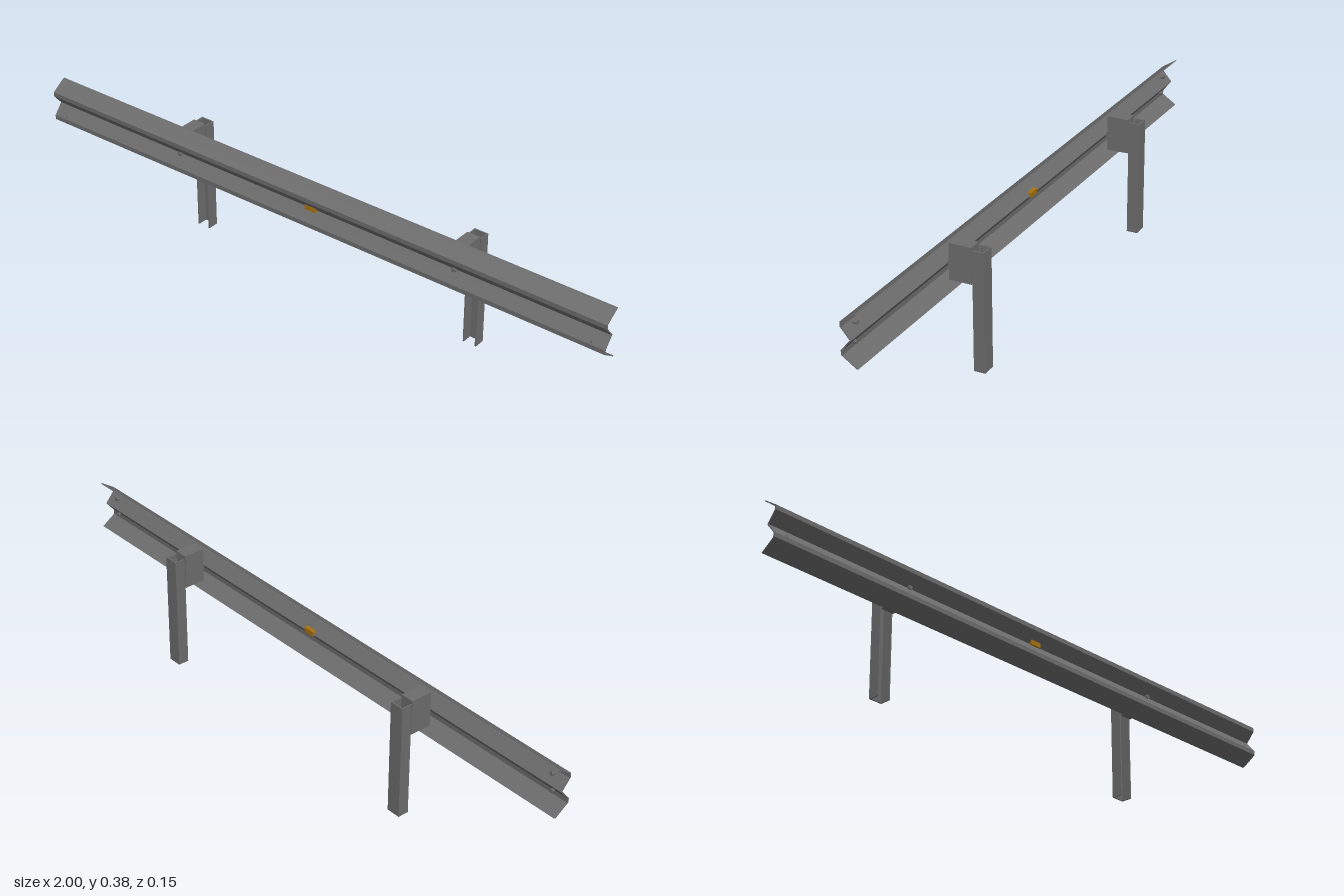
import * as THREE from 'three';

const steel = new THREE.MeshStandardMaterial({ color: 0x6c6c6c });
steel.name = 'galvanised steel';
const amber = new THREE.MeshStandardMaterial({ color: 0xa87210 });
amber.name = 'amber reflector';

function add(parent, name, geometry, material, x = 0, y = 0, z = 0) {
  const mesh = new THREE.Mesh(geometry, material);
  mesh.name = name;
  mesh.position.set(x, y, z);
  parent.add(mesh);
  return mesh;
}

// W-shaped rail section as [z, y], thickened backwards and swept along x
function railGeometry() {
  const front = [
    [0.031, 0.381], [0.076, 0.351], [0.076, 0.337], [0.048, 0.304],
    [0.076, 0.27], [0.076, 0.256], [0.031, 0.226],
  ];
  const t = 0.0045;
  const back = front.map(([z, y]) => [z - t, y]).reverse();
  const shape = new THREE.Shape([...front, ...back].map(([z, y]) => new THREE.Vector2(-z, y)));
  const g = new THREE.ExtrudeGeometry(shape, { depth: 2, bevelEnabled: false });
  g.translate(0, 0, -1);
  g.rotateY(Math.PI / 2);
  return g;
}

// Channel post, open towards the rail
function postGeometry() {
  const w = 0.0225, t = 0.004, back = 0.076, front = 0.041;
  const shape = new THREE.Shape([
    [-w, front], [-w, back], [w, back], [w, front],
    [w - t, front], [w - t, back - t], [-w + t, back - t], [-w + t, front],
  ].map(([x, y]) => new THREE.Vector2(x, y)));
  const g = new THREE.ExtrudeGeometry(shape, { depth: 0.365, bevelEnabled: false });
  g.rotateX(-Math.PI / 2); // shape y becomes -z, depth becomes height
  return g;
}

// Hexagonal or round bolt piece lying along z
function boltGeometry(radius, length, sides) {
  return new THREE.CylinderGeometry(radius, radius, length, sides).rotateX(Math.PI / 2);
}

export function createModel() {
  const group = new THREE.Group();
  group.name = 'guardRail';

  add(group, 'rail', railGeometry(), steel);

  const post = postGeometry();
  const block = new THREE.BoxGeometry(0.043, 0.11, 0.069);
  const postBolt = boltGeometry(0.007, 0.014, 8);
  const nut = boltGeometry(0.0065, 0.009, 6);
  const shank = boltGeometry(0.004, 0.016, 8);

  for (const side of [-1, 1]) {
    // Post, spacer block and the bolt in the rail valley
    add(group, 'post', post, steel, side * 0.5, 0, 0);
    add(group, 'spacerBlock', block, steel, side * 0.5, 0.318, -0.0035);
    add(group, 'postBolt', postBolt, steel, side * 0.5, 0.304, 0.05);

    // Splice bolts on the rear of each rail end
    for (const [y, z] of [[0.334, 0.0545], [0.277, 0.059]]) {
      add(group, 'spliceNut', nut, steel, side * 0.955, y, z);
      add(group, 'spliceBolt', shank, steel, side * 0.955, y - 0.002, z + 0.006);
    }
  }

  // Reflector through the middle of the valley
  add(group, 'reflector', new THREE.BoxGeometry(0.038, 0.015, 0.018), amber, 0, 0.307, 0.049);

  return group;
}
